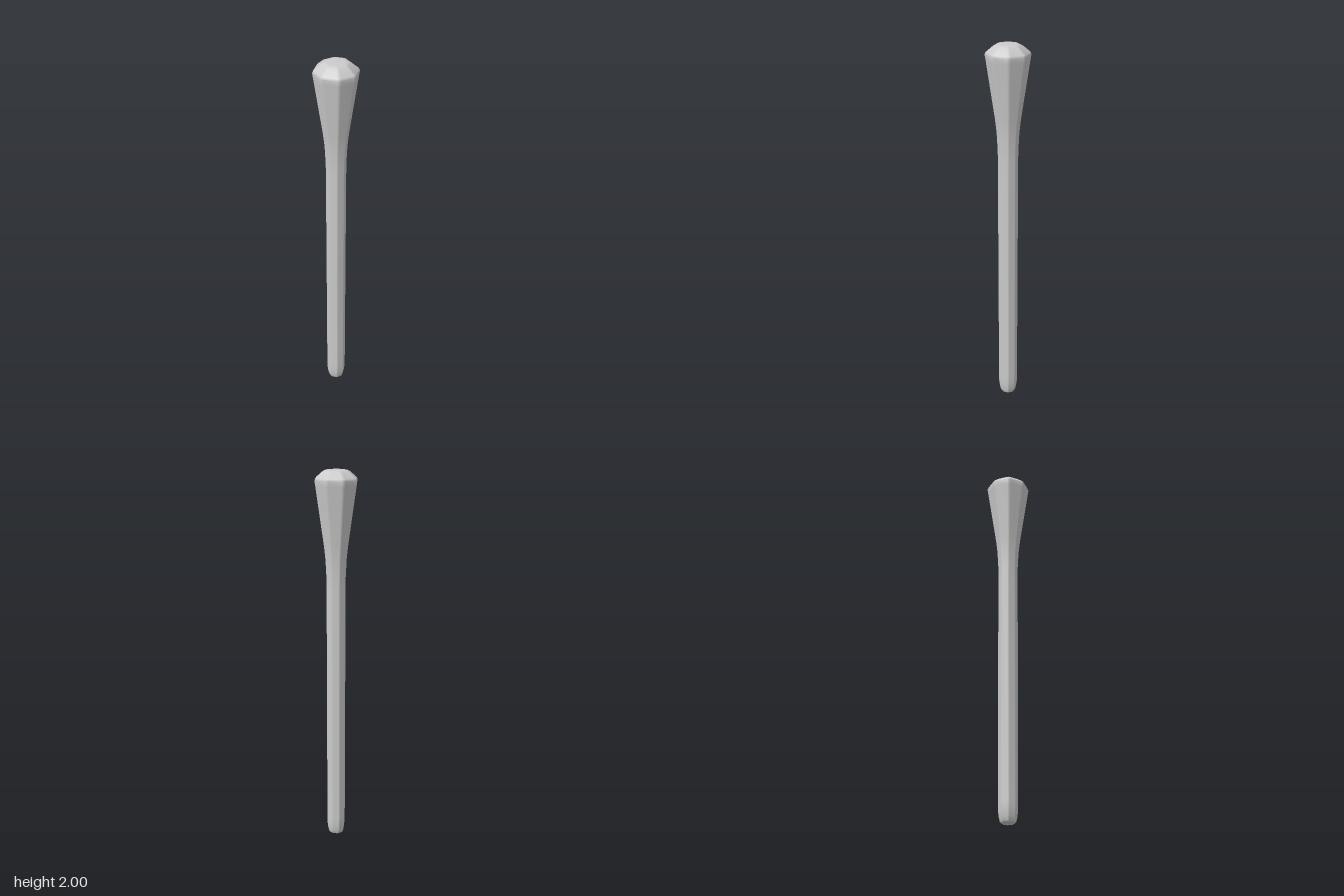
import * as THREE from 'three';
import { mergeVertices } from 'three/addons/utils/BufferGeometryUtils.js';

// Lathe with an eight-sided section whose corners are softly rounded
function octagonalLathe(profile) {
  const points = profile.map(([r, y]) => new THREE.Vector2(r, y));
  const geometry = new THREE.LatheGeometry(points, 24);
  const pos = geometry.attributes.position;
  const softness = THREE.MathUtils.degToRad(5);
  for (let i = 0; i < pos.count; i++) {
    const x = pos.getX(i), z = pos.getZ(i);
    const radius = Math.hypot(x, z);
    if (radius < 1e-6) continue;
    // Every third column is a corner; its two neighbours move in close to it
    const step = Math.round(Math.atan2(x, z) / (Math.PI / 12));
    const corner = Math.round(step / 3);
    const offset = step - corner * 3;
    const angle = corner * Math.PI / 4 + offset * softness;
    const r = radius * (offset === 0 ? 1 : 0.975);
    pos.setXYZ(i, r * Math.sin(angle), pos.getY(i), r * Math.cos(angle));
  }
  geometry.deleteAttribute('normal');
  geometry.deleteAttribute('uv');
  const welded = mergeVertices(geometry, 1e-5);
  welded.computeVertexNormals();
  return welded;
}

export function createModel() {
  const group = new THREE.Group();
  group.name = 'club';
  const material = new THREE.MeshStandardMaterial({ color: 0xcccccc });

  // Rounded foot, slim shaft, flared head and bevelled cap in one skin
  const profile = [
    [0, 0], [0.034, 0], [0.041, 0.008], [0.046, 0.03], [0.05, 0.06], [0.051, 0.1],
    [0.053, 1.38], [0.0535, 1.44], [0.059, 1.54], [0.067, 1.61],
    [0.113, 1.92], [0.1175, 1.948], [0.112, 1.96],
    [0.076, 1.99], [0.06, 1.998], [0.045, 2], [0, 2],
  ];
  const body = new THREE.Mesh(octagonalLathe(profile), material);
  body.name = 'shaftAndHead';
  group.add(body);
  return group;
}
